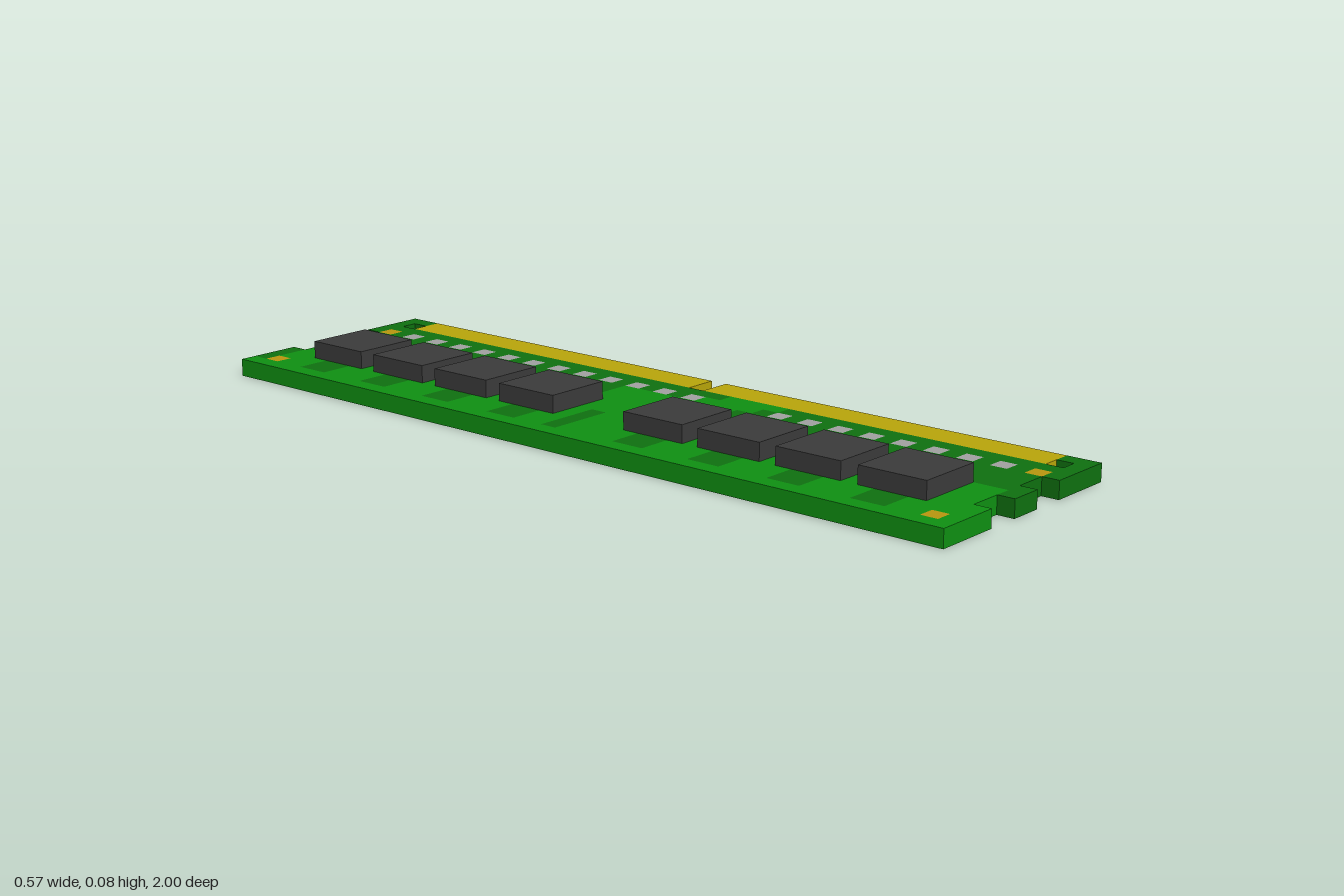
import * as THREE from 'three';

const COLS = 14, ROWS = 49, U = 2 / ROWS;   // board grid, one cell thick
const X = i => (i - COLS / 2) * U, Z = k => (k - ROWS / 2) * U;
const COLORS = {
  boardBase: 0x0f8f12, boardDarkAreas: 0x0f7010, edgeContacts: 0xb8a40a,
  cornerPads: 0xb8960f, capacitors: 0xa0a0a0,
};
const CHIP_ROWS = [3, 8, 13, 18, 27, 32, 37, 42];

// Lay out the board as a plan of cells, later rectangles covering earlier ones
function layoutBoard() {
  const cells = Array.from({ length: COLS }, () => Array(ROWS).fill('boardBase'));
  const paint = (part, i0, i1, k0, k1) => {
    for (let i = i0; i < i1; i++) for (let k = k0; k < k1; k++) cells[i][k] = part;
  };
  const dark = 'boardDarkAreas';

  // dark half, with a light stepped window in the middle
  paint(dark, 7, 14, 0, 49);
  paint('boardBase', 7, 10, 21, 27);
  paint('boardBase', 10, 11, 26, 27);
  for (let s = 0; s < 4; s++) paint('boardBase', 8 + s, 12, 27 + s, 28 + s);

  // dark patches beside the chips, centre bar and end strips
  for (const k of CHIP_ROWS) paint(dark, 1, 3, k + 1, k + 3);
  paint(dark, 1, 5, 23, 24);
  paint(dark, 1, 4, 0, 1);

  // capacitor row
  for (let k = 3; k <= 45; k += 2) if (k <= 25 || k >= 31) paint('capacitors', 10, 11, k, k + 1);

  // contact strips with the key slot between them
  paint('edgeContacts', 12, 14, 2, 47);
  paint(null, 12, 14, 24, 25);

  // pads, holes and notches at both ends
  for (const [row, end] of [[1, 0], [47, 48]]) {
    paint('cornerPads', 1, 2, row, row + 1);
    paint('cornerPads', 10, 11, row, row + 1);
    paint(null, 12, 13, row, row + 1);
    paint(dark, 6, 8, end, end + 1);
    paint(null, 4, 6, end, end + 1);
    paint(null, 8, 10, end, end + 1);
  }
  return cells;
}

// Outer faces of all the cells belonging to one part
function partGeometry(cells, part) {
  const pos = [];
  const quad = (a, b, c, d) => pos.push(...a, ...b, ...c, ...a, ...c, ...d);
  const open = (i, k) => !cells[i]?.[k];
  for (let i = 0; i < COLS; i++) for (let k = 0; k < ROWS; k++) {
    if (cells[i][k] !== part) continue;
    const x0 = X(i), x1 = X(i + 1), z0 = Z(k), z1 = Z(k + 1);
    const wall = (ax, az, bx, bz) => quad([ax, 0, az], [bx, 0, bz], [bx, U, bz], [ax, U, az]);
    quad([x0, U, z1], [x1, U, z1], [x1, U, z0], [x0, U, z0]);
    quad([x0, 0, z0], [x1, 0, z0], [x1, 0, z1], [x0, 0, z1]);
    if (open(i, k + 1)) wall(x0, z1, x1, z1);
    if (open(i + 1, k)) wall(x1, z1, x1, z0);
    if (open(i, k - 1)) wall(x1, z0, x0, z0);
    if (open(i - 1, k)) wall(x0, z0, x0, z1);
  }
  const geo = new THREE.BufferGeometry();
  geo.setAttribute('position', new THREE.Float32BufferAttribute(pos, 3));
  geo.computeVertexNormals();
  return geo;
}

export function createModel() {
  const model = new THREE.Group();
  model.name = 'memoryModule';

  // circuit board
  const board = new THREE.Group();
  board.name = 'circuitBoard';
  const cells = layoutBoard();
  for (const [part, color] of Object.entries(COLORS)) {
    const mesh = new THREE.Mesh(partGeometry(cells, part), new THREE.MeshStandardMaterial({ color }));
    mesh.name = part;
    board.add(mesh);
  }
  model.add(board);

  // memory chips
  const chips = new THREE.Group();
  chips.name = 'chips';
  const chipGeo = new THREE.BoxGeometry(4 * U, U, 4 * U);
  const chipMat = new THREE.MeshStandardMaterial({ color: 0x3b3b3b });
  for (const k of CHIP_ROWS) {
    const chip = new THREE.Mesh(chipGeo, chipMat);
    chip.name = 'chip';
    chip.position.set(X(5), 1.5 * U, Z(k + 2));
    chips.add(chip);
  }
  model.add(chips);
  return model;
}
